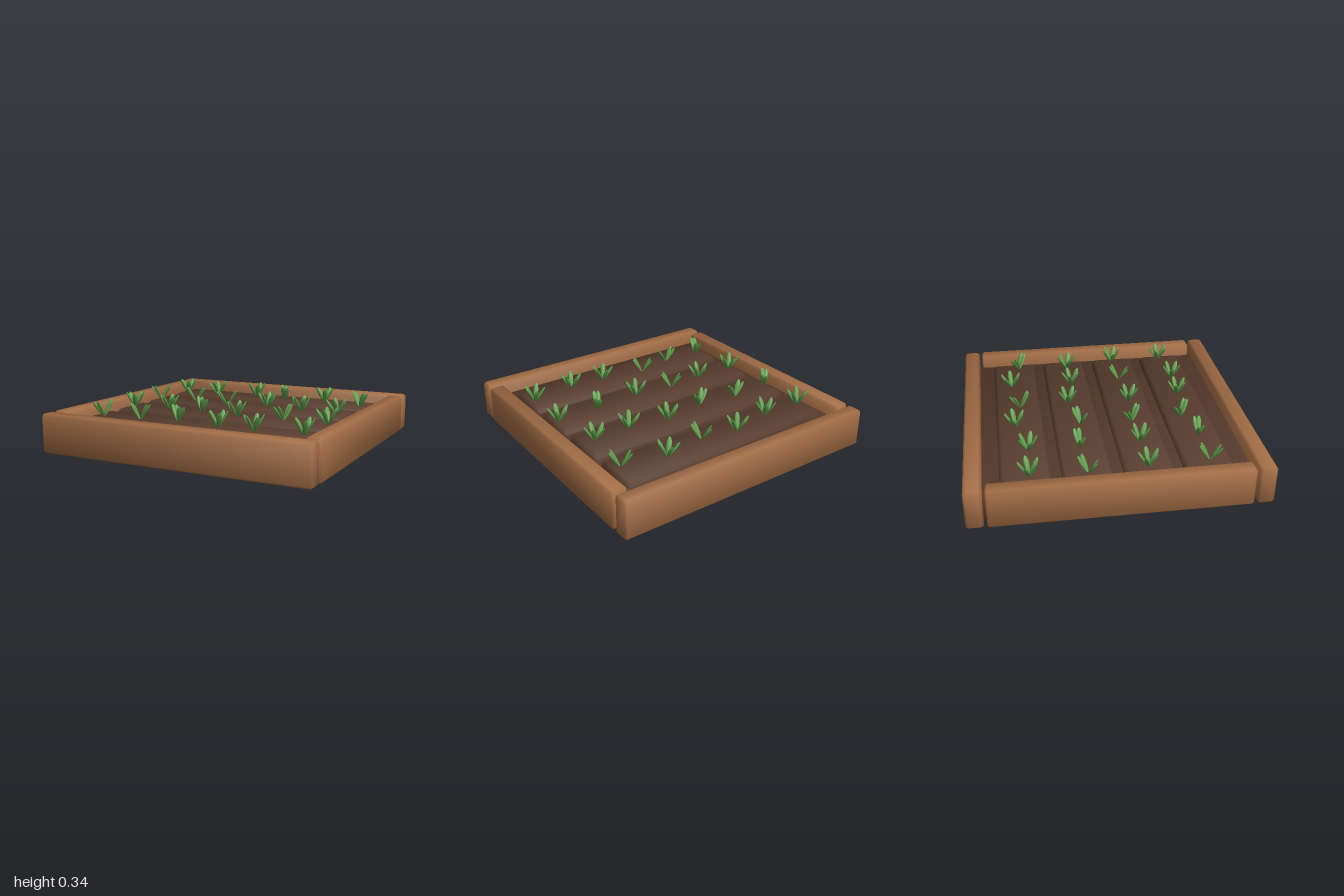
import * as THREE from 'three';
import { ConvexGeometry } from 'three/addons/geometries/ConvexGeometry.js';

const wood = new THREE.MeshStandardMaterial({ name: 'wood', color: 0xa36d45 });
const soil = new THREE.MeshStandardMaterial({ name: 'soil', color: 0x55392a });
const ridgeSoil = new THREE.MeshStandardMaterial({ name: 'ridgeSoil', color: 0x5a3e2f });
const leafGreen = new THREE.MeshStandardMaterial({ name: 'leafGreen', color: 0x5f9e4c });

// Chamfered box with softly blended normals, so broad faces shade as if pillowed
function bevelBox(w, h, d, bevel, soft = 0.4) {
  const half = [w / 2, h / 2, d / 2];
  const points = [];
  for (const sx of [-1, 1]) for (const sy of [-1, 1]) for (const sz of [-1, 1]) {
    for (let face = 0; face < 3; face++) {
      const p = half.map((v, i) => v - (i === face ? 0 : bevel));
      points.push(new THREE.Vector3(p[0] * sx, p[1] * sy, p[2] * sz));
    }
  }
  const geometry = new ConvexGeometry(points);
  const pos = geometry.attributes.position;
  const n = new THREE.Vector3();
  for (let i = 0; i < pos.count; i++) {
    const p = [pos.getX(i), pos.getY(i), pos.getZ(i)];
    n.fromArray(p.map((v, k) => Math.sign(v) * (Math.abs(v) > half[k] - bevel / 2 ? 1 : soft))).normalize();
    geometry.attributes.normal.setXYZ(i, n.x, n.y, n.z);
  }
  return geometry;
}

// Place a box by its centre in plan and its bottom and top heights
function addBox(group, name, material, w, d, x, z, y0, y1, bevel) {
  const mesh = new THREE.Mesh(bevelBox(w, y1 - y0, d, bevel), material);
  mesh.name = name;
  mesh.position.set(x, (y0 + y1) / 2, z);
  group.add(mesh);
  return mesh;
}

// Slim, flattened leaf growing up from the origin
function makeLeafGeometry() {
  const profile = [[0.004, 0], [0.016, 0.05], [0.019, 0.1], [0.012, 0.13], [0, 0.142]];
  const geometry = new THREE.LatheGeometry(profile.map(([r, y]) => new THREE.Vector2(r, y)), 6);
  geometry.scale(0.5, 1, 1);
  geometry.computeVertexNormals();
  return geometry;
}

// Each seedling: x, z, turn, and whether its leaves spread all round or lie in one line
const seedlings = [
  [-0.77, -0.58, 0.3, 1], [-0.47, -0.57, 0.9, 1], [-0.15, -0.64, 0.3, 1],
  [0.12, -0.59, -1.1, 0], [0.44, -0.645, 0.1, 1], [0.75, -0.57, -0.6, 0],
  [-0.79, -0.2, 0.85, 0], [-0.48, -0.22, 0.2, 0], [-0.18, -0.18, 0.5, 0],
  [0.14, -0.235, 0.6, 1], [0.435, -0.18, 0.4, 1], [0.71, -0.19, 0.9, 1],
  [-0.77, 0.2, 0.2, 1], [-0.46, 0.2, 0.6, 1], [-0.19, 0.19, -0.8, 0],
  [0.11, 0.22, 0.5, 1], [0.46, 0.2, 1.15, 0], [0.78, 0.19, 0.8, 1],
  [-0.75, 0.615, 1.25, 0], [-0.44, 0.615, 0, 0], [-0.17, 0.555, -0.65, 0],
  [0.17, 0.605, 0.3, 1], [0.44, 0.62, 0.5, 1], [0.77, 0.58, 0.2, 1],
];

function addSeedling(group, leafGeometry, [x, z, turn, star]) {
  const plant = new THREE.Group();
  plant.name = 'seedling';
  plant.position.set(x, 0.215, z);
  plant.rotation.y = turn;
  const angles = star
    ? [0, 1, 2, 3, 4].map((i) => (i * Math.PI * 2) / 5)
    : [-0.22, 0.22, Math.PI - 0.22, Math.PI + 0.22];
  angles.forEach((angle, i) => {
    const stem = new THREE.Group();
    stem.name = 'leafDirection';
    stem.rotation.y = angle;
    const leaf = new THREE.Mesh(leafGeometry, leafGreen);
    leaf.name = 'leaf';
    leaf.rotation.z = -0.5 - 0.06 * (i % 3);
    stem.add(leaf);
    plant.add(stem);
  });
  group.add(plant);
}

export function createModel() {
  const model = new THREE.Group();
  model.name = 'raisedGardenBed';

  // Wooden frame: long boards front and back, shorter boards between them
  for (const s of [-1, 1]) {
    addBox(model, s > 0 ? 'frontBoard' : 'backBoard', wood, 1.99, 0.115, 0, s * 0.9425, 0.005, 0.28, 0.016);
    addBox(model, s > 0 ? 'leftBoard' : 'rightBoard', wood, 0.115, 1.73, s * 0.9425, 0, 0.005, 0.28, 0.016);
  }

  // Soil base and four planting ridges
  addBox(model, 'soilBase', soil, 1.87, 1.8, 0, 0, 0, 0.185, 0.015);
  for (const z of [-0.605, -0.205, 0.2, 0.6]) {
    addBox(model, 'plantingRidge', ridgeSoil, 1.66, 0.335, 0, z, 0.12, 0.228, 0.025);
  }

  // Seedlings
  const leafGeometry = makeLeafGeometry();
  for (const seedling of seedlings) addSeedling(model, leafGeometry, seedling);
  return model;
}
